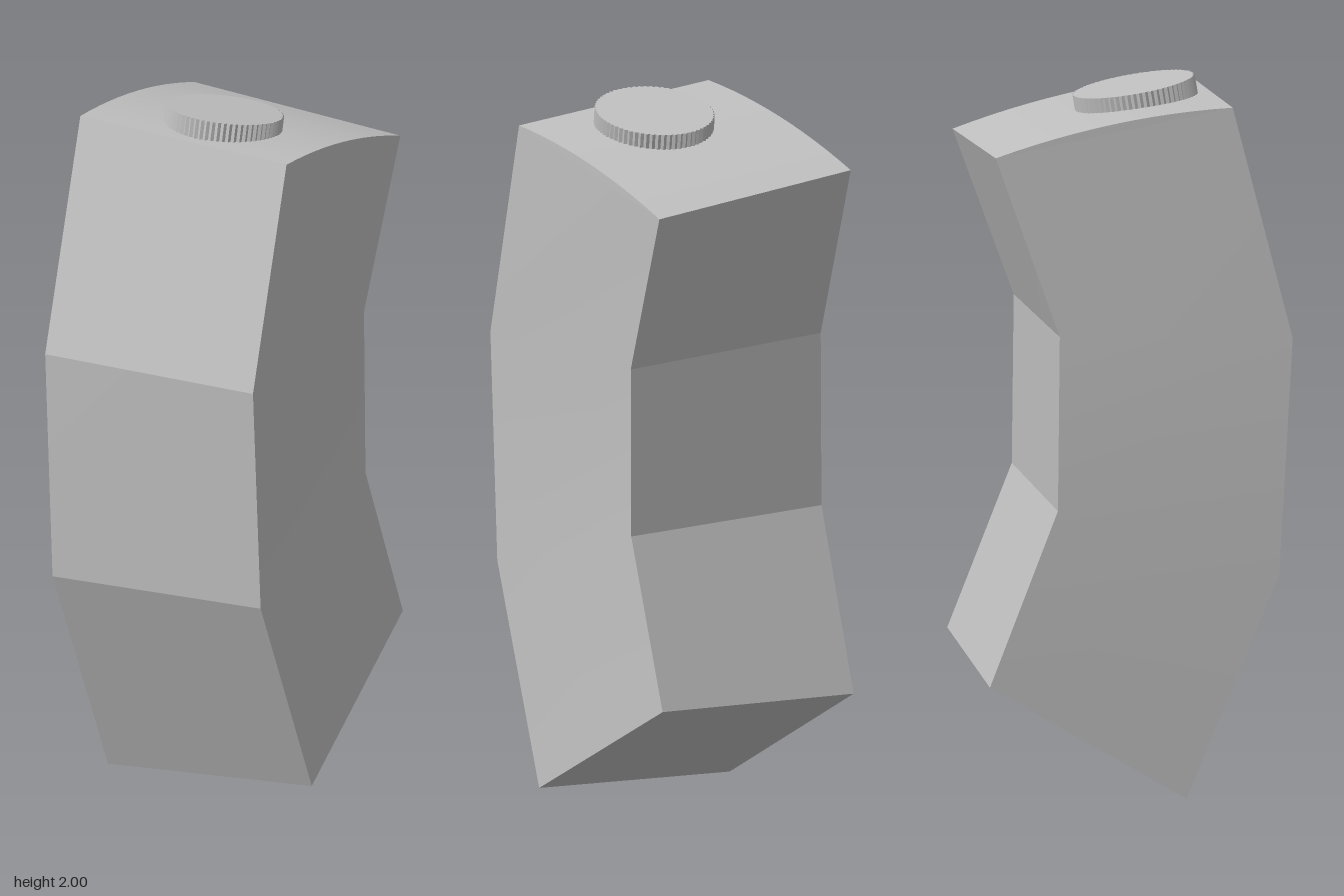
import * as THREE from 'three';
import { toCreasedNormals } from 'three/addons/utils/BufferGeometryUtils.js';

// Cross-sections from bottom to top: front right, front left, back left, back right
const SECTIONS = [
  [[-0.305, 0.0, 0.135], [0.345, 0.05, 0.148], [0.333, 0.385, -0.417], [-0.32, 0.34, -0.428]],
  [[-0.345, 0.633, 0.39], [0.312, 0.65, 0.39], [0.31, 0.85, -0.238], [-0.347, 0.84, -0.24]],
  [[-0.348, 1.305, 0.428], [0.308, 1.3, 0.428], [0.308, 1.33, -0.233], [-0.348, 1.335, -0.235]],
  [[-0.325, 1.963, 0.262], [0.328, 1.932, 0.266], [0.333, 1.802, -0.402], [-0.322, 1.845, -0.412]],
].map((ring) => ring.map((p) => new THREE.Vector3(...p)));

const BULGE = 0.025;
const STEPS = 12;

// Bent four-sided column with a gently domed top
function bodyGeometry() {
  const pos = [];
  const tri = (...pts) => pts.forEach((p) => pos.push(p.x, p.y, p.z));
  const quad = (a, b, c, d) => { tri(a, b, c); tri(a, c, d); };

  // Walls between neighbouring sections
  for (let s = 0; s < SECTIONS.length - 1; s++) {
    const lo = SECTIONS[s], hi = SECTIONS[s + 1];
    for (let i = 0; i < 4; i++) {
      const j = (i + 1) % 4;
      quad(lo[i], lo[j], hi[j], hi[i]);
    }
  }

  // Flat underside
  const [a, b, c, d] = SECTIONS[0];
  quad(d, c, b, a);

  // Domed top, with slivers closing the arc above each side wall
  const [fr, fl, bl, br] = SECTIONS[3];
  const point = (p, q, v, h) => {
    const r = p.clone().lerp(q, v);
    r.y += h * 4 * v * (1 - v);
    return r;
  };
  for (let k = 0; k < STEPS; k++) {
    const v = k / STEPS, w = (k + 1) / STEPS;
    const r0 = point(fr, br, v, BULGE), r1 = point(fr, br, w, BULGE);
    const l0 = point(fl, bl, v, BULGE), l1 = point(fl, bl, w, BULGE);
    quad(r0, l0, l1, r1);
    quad(point(fl, bl, v, 0), point(fl, bl, w, 0), l1, l0);
    quad(point(fr, br, w, 0), point(fr, br, v, 0), r0, r1);
  }

  const geo = new THREE.BufferGeometry();
  geo.setAttribute('position', new THREE.Float32BufferAttribute(pos, 3));
  return toCreasedNormals(geo, 0.2);
}

// Round knob with a finely toothed rim, standing on y = 0
function knobGeometry(radius, height, teeth) {
  const outline = [];
  for (let i = 0; i < teeth * 2; i++) {
    const t = (i / (teeth * 2)) * Math.PI * 2;
    const r = radius - (i % 2) * 0.005;
    outline.push(new THREE.Vector2(Math.cos(t) * r, Math.sin(t) * r * 1.05));
  }
  const geo = new THREE.ExtrudeGeometry(new THREE.Shape(outline), { depth: height, bevelEnabled: false });
  return geo.rotateX(-Math.PI / 2);
}

export function createModel() {
  const grey = new THREE.MeshStandardMaterial({ color: 0xc0c0c0 });
  grey.name = 'light grey';

  const body = new THREE.Mesh(bodyGeometry(), grey);
  body.name = 'bentBody';

  const knob = new THREE.Mesh(knobGeometry(0.165, 0.08, 64), grey);
  knob.name = 'topKnob';
  const normal = new THREE.Vector3(0.05, 1, -0.16).normalize();
  knob.quaternion.setFromUnitVectors(new THREE.Vector3(0, 1, 0), normal);
  knob.position.set(0.018, 1.972, 0.049).addScaledVector(normal, -0.08);

  const model = new THREE.Group();
  model.name = 'bentColumn';
  model.add(body, knob);
  return model;
}
